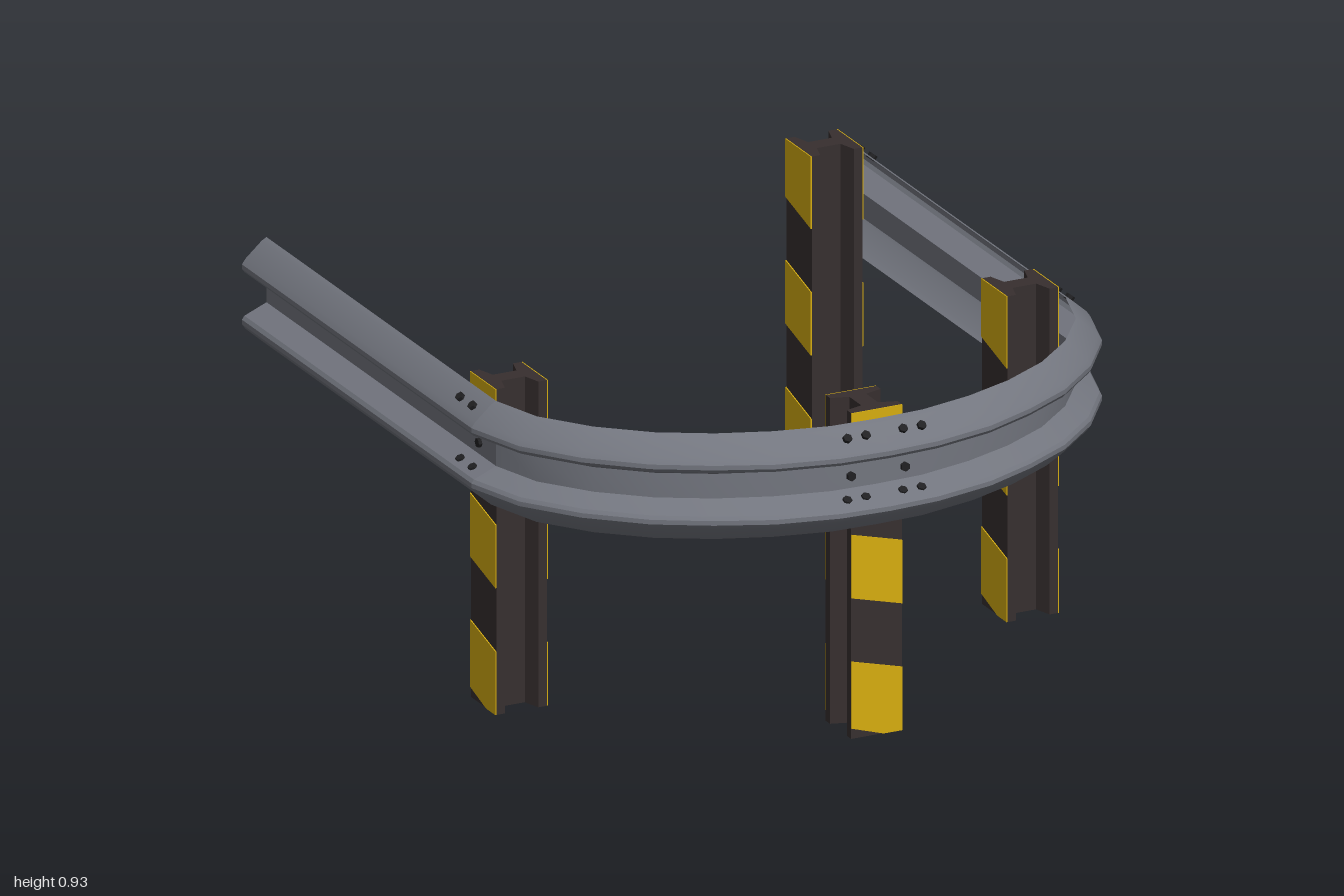
import * as THREE from 'three';
import { toCreasedNormals } from 'three/addons/utils/BufferGeometryUtils.js';

const mat = (name, color, side = THREE.FrontSide) => {
  const m = new THREE.MeshStandardMaterial({ color, side });
  m.name = name;
  return m;
};

export function createModel() {
  const steel = mat('galvanised steel', 0x73767f, THREE.DoubleSide);
  const dark = mat('dark post', 0x372f2f);
  const yellow = mat('warning yellow', 0xd6ad10);
  const boltDark = mat('bolt', 0x202022);
  const model = new THREE.Group();
  model.name = 'guardRail';

  const add = (parent, name, geo, material) => {
    const m = new THREE.Mesh(geo, material);
    m.name = name;
    parent.add(m);
    return m;
  };

  // Two-wave rail profile: [0 = inner side, 1 = outer side; height]
  const upper = [[0, 0.9], [0.2, 0.892], [0.85, 0.85], [1, 0.835], [1, 0.822], [0.9, 0.812], [0, 0.785]];
  const profile = [...upper, ...upper.map(([t, y]) => [t, 1.5 - y]).reverse()];

  // Sheet lofted along stations [inner x, inner z, outer x, outer z]
  function railPanel(name, stations, side) {
    const pos = [], index = [], n = profile.length;
    stations.forEach(([ix, iz, ox, oz], s) => {
      profile.forEach(([t, y], k) => {
        pos.push(side * (ix + (ox - ix) * t), y, iz + (oz - iz) * t);
        if (s && k) {
          const d = s * n + k, c = d - 1, b = d - n, a = b - 1;
          if (side > 0) index.push(a, b, c, b, d, c);
          else index.push(a, c, b, b, c, d);
        }
      });
    });
    const g = new THREE.BufferGeometry();
    g.setAttribute('position', new THREE.Float32BufferAttribute(pos, 3));
    g.setIndex(index);
    add(model, name, toCreasedNormals(g, 0.5), steel);
  }

  const straight = [[0.845, 0.35, 0.918, 0.35], [0.845, -1, 0.918, -1]];
  const curve = [
    [0, 0.92, 0, 1], [0.135, 0.915, 0.145, 0.992], [0.29, 0.88, 0.32, 0.953],
    [0.435, 0.825, 0.47, 0.887], [0.575, 0.745, 0.615, 0.803], [0.7, 0.635, 0.755, 0.677],
    [0.8, 0.5, 0.865, 0.525], [0.845, 0.35, 0.918, 0.35],
  ];
  for (const side of [1, -1]) {
    const label = side > 0 ? 'left' : 'right';
    railPanel(label + 'StraightRail', straight, side);
    railPanel(label + 'CurvedRail', curve, side);
  }

  // I-beam post with tapered flanges, quarter mirrored into a full outline
  const H = 0.925, D = 0.075;
  const q = [[0.075, D], [0.075, 0.05], [0.025, 0.035]];
  const outline = [
    ...q, ...q.map(([u, w]) => [u, -w]).reverse(),
    ...q.map(([u, w]) => [-u, -w]), ...q.map(([u, w]) => [-u, w]).reverse(),
  ];
  const shapeOf = (pts) => new THREE.Shape(pts.map(([x, y]) => new THREE.Vector2(x, y)));
  const beamGeo = new THREE.ExtrudeGeometry(shapeOf(outline), { depth: H, bevelEnabled: false });
  beamGeo.rotateX(-Math.PI / 2);

  // Slanted yellow bands; the dark post shows between them
  const bands = [
    [[-0.075, 0.03], [0.02, 0], [0.075, 0], [0.075, 0.18], [-0.075, 0.22]],
    [[-0.075, 0.4], [0.075, 0.36], [0.075, 0.54], [-0.075, 0.58]],
    [[-0.075, 0.76], [0.075, 0.72], [0.075, H], [-0.075, H]],
  ].map((b) => new THREE.ExtrudeGeometry(shapeOf(b), { depth: 0.003, bevelEnabled: false }));

  function post(name, x, z, turn) {
    const g = new THREE.Group();
    g.name = name;
    g.position.set(x, 0, z);
    g.rotation.y = turn;
    add(g, 'beam', beamGeo, dark);
    for (const w of [D, -D - 0.003])
      for (const b of bands) add(g, 'warningStripe', b, yellow).position.z = w;
    model.add(g);
  }
  post('frontPost', 0, 0.838, 0);
  post('leftPost', 0.757, 0.257, -Math.PI / 2);
  post('leftEndPost', 0.757, -0.895, -Math.PI / 2);
  post('rightPost', -0.76, 0.257, -Math.PI / 2);

  // Hex bolts standing on the upper slopes and in the valley
  const boltGeo = new THREE.CylinderGeometry(0.013, 0.013, 0.016, 6).toNonIndexed();
  boltGeo.computeVertexNormals();
  const up = new THREE.Vector3(0, 1, 0);
  function bolt(x, y, z, normal) {
    const b = add(model, 'bolt', boltGeo, boltDark);
    b.position.set(x, y, z);
    b.quaternion.setFromUnitVectors(up, normal.normalize());
  }
  const rows = [[0.04, 0.873, 0.06, 0.075], [0.04, 0.697, 0.035, 0.075]];

  // Bolts of the straight rails at their posts
  for (const [side, zc] of [[1, 0.257], [-1, 0.257], [1, -0.905]]) {
    for (const [off, y, out, rise] of rows)
      for (const dz of [-0.036, 0.036])
        bolt(side * (0.845 + off), y, zc + dz, new THREE.Vector3(side * out, rise, 0));
    bolt(side * 0.847, 0.75, zc, new THREE.Vector3(side, 0, 0));
  }
  // Bolts of the front joint
  for (const side of [1, -1]) {
    for (const [off, y, out, rise] of rows)
      for (const x of [0.055, 0.11])
        bolt(side * x, y, 0.918 + off, new THREE.Vector3(0, rise, out));
    bolt(side * 0.08, 0.75, 0.92, new THREE.Vector3(0, 0, 1));
  }
  return model;
}
